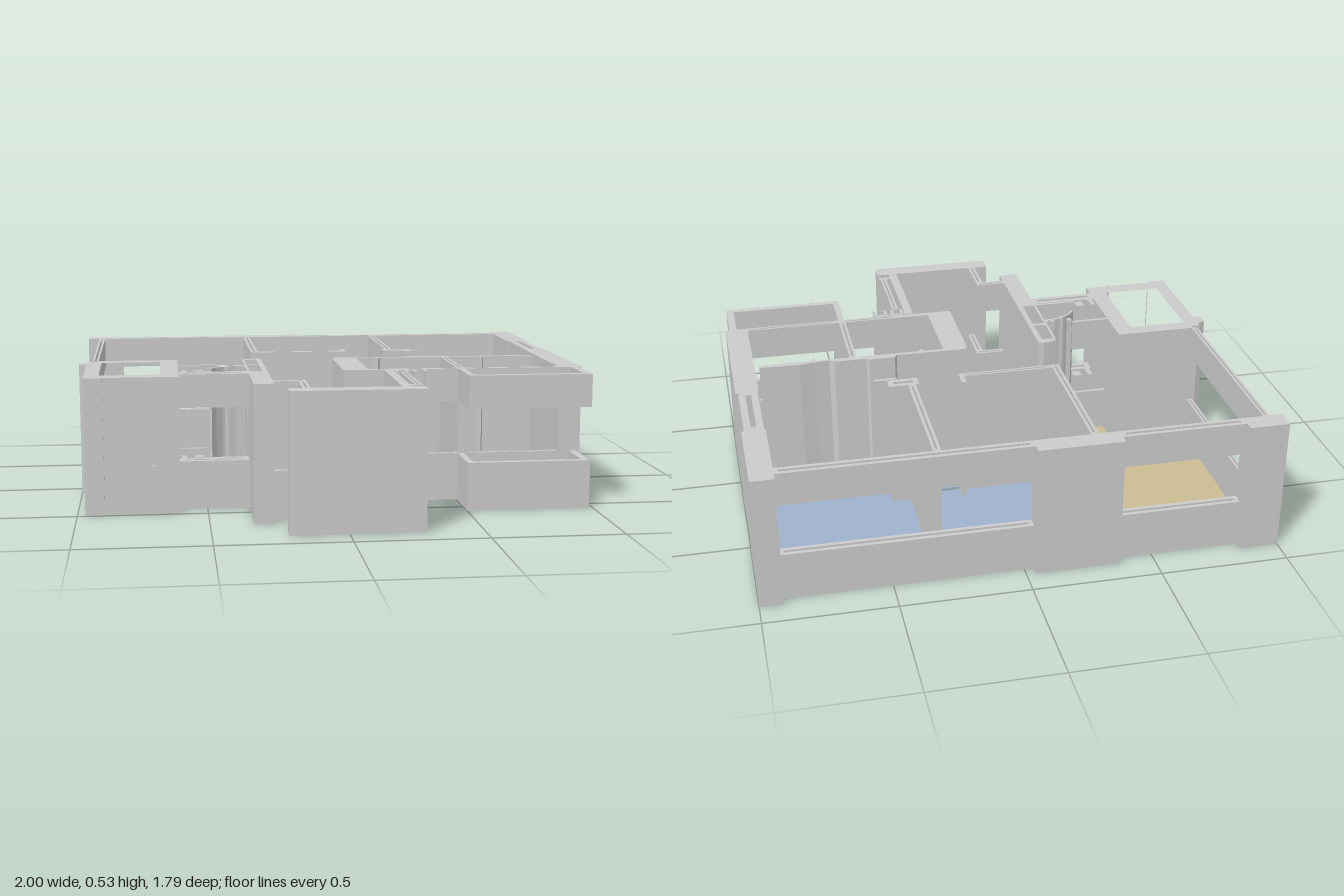
import * as THREE from 'three';

const H = 0.53, SILL = 0.19, HEAD = 0.4; // wall height and window opening

export function createModel() {
  const model = new THREE.Group();
  model.name = 'apartment';
  const wallMat = new THREE.MeshStandardMaterial({ color: 0xcccccc });

  function box(parent, x0, x1, z0, z1, y0 = 0, y1 = H) {
    const mesh = new THREE.Mesh(new THREE.BoxGeometry(x1 - x0, y1 - y0, z1 - z0), wallMat);
    mesh.position.set((x0 + x1) / 2, (y0 + y1) / 2, (z0 + z1) / 2);
    parent.add(mesh);
    return mesh;
  }
  function part(name) {
    const g = new THREE.Group();
    g.name = name;
    model.add(g);
    return g;
  }
  // full-height solid wall
  function wall(name, x0, x1, z0, z1) {
    box(model, x0, x1, z0, z1).name = name;
  }
  // two thin skins with a cavity between, closed at the ends
  function skins(g, x0, x1, z0, z1, y0, y1) {
    const alongX = x1 - x0 > z1 - z0;
    const t = (alongX ? z1 - z0 : x1 - x0) * 0.36;
    if (alongX) {
      box(g, x0, x1, z0, z0 + t, y0, y1);
      box(g, x0, x1, z1 - t, z1, y0, y1);
      for (const x of [x0, x1 - t]) box(g, x, x + t, z0 + t, z1 - t, y0, y1);
    } else {
      box(g, x0, x0 + t, z0, z1, y0, y1);
      box(g, x1 - t, x1, z0, z1, y0, y1);
      for (const z of [z0, z1 - t]) box(g, x0 + t, x1 - t, z, z + t, y0, y1);
    }
  }
  function hollowWall(name, ...r) {
    skins(part(name), ...r, 0, H);
  }
  // parapet below and lintel above an open window band
  function windowWall(name, x0, x1, z0, z1, solid = false) {
    const g = part(name);
    for (const [y0, y1] of [[0, SILL], [HEAD, H]]) {
      if (solid) box(g, x0, x1, z0, z1, y0, y1);
      else skins(g, x0, x1, z0, z1, y0, y1);
    }
  }
  // vertical prism over a plan outline of [x, z] points
  function prism(name, pts, height, material, holes = []) {
    const flip = (p) => p.map(([x, z]) => new THREE.Vector2(x, -z));
    const shape = new THREE.Shape(flip(pts));
    for (const h of holes) shape.holes.push(new THREE.Path(flip(h)));
    const geo = new THREE.ExtrudeGeometry(shape, { depth: height, bevelEnabled: false });
    geo.rotateX(-Math.PI / 2);
    const mesh = new THREE.Mesh(geo, material);
    mesh.name = name;
    model.add(mesh);
  }
  const rect = (x0, x1, z0, z1) => [[x0, z0], [x1, z0], [x1, z1], [x0, z1]];
  function floor(name, color, pts) {
    prism(name, pts, 0.008, new THREE.MeshStandardMaterial({ color }));
  }

  // Floors
  const YELLOW = 0xcbbd93, BLUE = 0x9fb2cd, TEAL = 0x98bfbd, RED = 0xcba897;
  floor('livingFloor', YELLOW, [[-0.93, -0.82], [-0.285, -0.82], [-0.285, -0.235], [-0.205, -0.235],
    [-0.205, -0.105], [-0.28, -0.03], [-0.33, -0.02], [-0.33, 0.17], [-0.45, 0.17], [-0.45, 0.14],
    [-0.605, 0.14], [-0.605, -0.02], [-0.93, -0.02]]);
  floor('closetFloor', YELLOW, rect(-0.33, -0.28, 0.16, 0.34));
  floor('bedroomFloor', BLUE, rect(-0.255, 0.305, -0.82, -0.255));
  floor('corridorFloor', BLUE, [[-0.205, -0.235], [0.335, -0.235], [0.335, -0.02], [0.07, -0.03],
    [0, -0.105], [-0.205, -0.105]]);
  floor('mainBedroomFloor', BLUE, [[0.335, -0.82], [0.91, -0.82], [0.91, -0.015], [0.335, -0.015],
    [0.335, -0.235], [0.41, -0.235], [0.41, -0.285], [0.335, -0.285]]);
  floor('hallFloor', RED, [[-0.21, -0.105], [0, -0.105], [0.07, -0.03], [0.04, -0.02], [0.04, 0.365],
    [0.2, 0.365], [0.2, 0.815], [-0.135, 0.815], [-0.135, 0.615], [-0.255, 0.615], [-0.255, -0.03],
    [-0.285, -0.03]]);
  floor('bathroomFloor', TEAL, rect(0.14, 0.5, 0, 0.345));
  floor('secondBathroomFloor', TEAL, rect(0.525, 0.915, 0, 0.345));
  floor('balconyFloor', 0xa6a6a6, rect(0.525, 0.955, 0.365, 0.545));
  floor('shaftFloor', 0xbfbbaf, rect(-0.91, -0.675, 0.04, 0.41));

  // Back facade
  wall('backRightPillar', -1, -0.845, -0.9, -0.82);
  wall('backMiddlePillar', -0.365, -0.035, -0.9, -0.82);
  windowWall('livingBackWindow', -0.845, -0.365, -0.865, -0.82);
  windowWall('bedroomBackWindow', -0.035, 0.91, -0.865, -0.82);

  // Side walls
  windowWall('livingSideWindow', -0.95, -0.925, -0.82, -0.02);
  wall('sideWallBack', 0.91, 1, -0.9, -0.53);
  wall('sideWallFront', 0.91, 1, -0.22, 0.365);
  windowWall('sideWindow', 0.915, 0.99, -0.53, -0.22);

  // Bedroom partitions
  hollowWall('livingPartition', -0.285, -0.255, -0.82, -0.235);
  hollowWall('bedroomFrontWall', -0.255, 0.12, -0.26, -0.235);
  wall('bedroomDoorJamb', 0.105, 0.125, -0.31, -0.235);
  hollowWall('bedroomPartition', 0.305, 0.335, -0.82, -0.29);
  hollowWall('ductCasing', 0.29, 0.41, -0.29, -0.235);
  wall('mainBedroomDoorJamb', 0.37, 0.46, -0.232, -0.217);

  // Bathroom block
  wall('bathroomThickWall', 0.04, 0.14, -0.005, 0.365);
  prism('bathroomBackWall', [[0.05, -0.02], [0.335, -0.018], [0.345, -0.035], [0.45, -0.035], [0.46, -0.025],
    [0.59, -0.025], [0.61, -0.01], [0.67, -0.015], [0.73, -0.025], [0.89, -0.02], [0.89, 0], [0.68, 0],
    [0.67, 0.025], [0.66, 0], [0.24, 0], [0.23, 0.02], [0.22, 0], [0.05, 0]], H, wallMat);
  hollowWall('bathroomPartition', 0.497, 0.525, 0, 0.345);
  wall('bathroomFrontWall', 0.14, 0.285, 0.342, 0.367);
  windowWall('bathroomWindow', 0.285, 0.5, 0.342, 0.367);
  wall('bathroomPost', 0.5, 0.55, 0.342, 0.367);
  windowWall('secondBathroomWindow', 0.55, 0.915, 0.342, 0.367);

  // Balcony parapet and upper band
  windowWall('balconySide', 0.5, 0.525, 0.367, 0.545, true);
  windowWall('balconySide', 0.955, 0.985, 0.365, 0.545, true);
  windowWall('balconyFront', 0.5, 0.985, 0.545, 0.572, true);

  // Entrance hall
  wall('hallFrontWall', -0.22, 0.285, 0.817, 0.89);
  windowWall('hallSideWindow', 0.2, 0.235, 0.372, 0.817, true);
  windowWall('hallOuterWindow', 0.255, 0.28, 0.43, 0.78);
  for (const [x, z] of [[0.24, 0.372], [0.28, 0.372], [0.31, 0.372], [0.355, 0.372]])
    wall('hallPost', x, x + 0.012, z, z + 0.055);
  wall('hallPostRail', 0.24, 0.36, 0.372, 0.384);
  windowWall('hallCornerLedge', 0.235, 0.285, 0.765, 0.785, true);
  windowWall('hallNookSide', -0.165, -0.135, 0.64, 0.817);
  windowWall('hallNookBack', -0.26, -0.135, 0.61, 0.64);
  wall('hallThickWall', -0.335, -0.258, 0.345, 0.7);
  wall('hallWall', -0.28, -0.258, 0.005, 0.345);
  prism('hallWallEnd', [[-0.33, -0.02], [-0.28, -0.03], [-0.258, -0.025], [-0.258, 0.005], [-0.33, 0.005]], H, wallMat);
  wall('closetBack', -0.33, -0.28, 0.14, 0.16);
  wall('closetSide', -0.338, -0.328, 0, 0.345);

  // Shaft: thick walls around an open core
  prism('shaftWalls', [[-0.93, -0.02], [-0.605, -0.02], [-0.605, 0.48], [-0.895, 0.48], [-0.895, 0.49],
    [-0.968, 0.49], [-0.968, 0.09], [-1, 0.085], [-1, 0.035], [-0.968, 0.02], [-0.968, 0], [-0.93, 0]],
  H, wallMat, [rect(-0.91, -0.675, 0.04, 0.41)]);
  windowWall('shaftFin', -0.712, -0.702, 0.48, 0.495, true);

  // Kitchen end: window, low screens and curved corner screen
  windowWall('kitchenWindow', -0.605, -0.335, 0.36, 0.42);
  windowWall('kitchenLedge', -0.605, -0.45, 0.14, 0.155, true);
  windowWall('kitchenInnerLedge', -0.51, -0.335, 0.343, 0.355, true);
  const outer = [], inner = [];
  for (let i = 0; i <= 8; i++) {
    const a = (i / 8) * Math.PI / 2;
    outer.push([-0.345 - 0.165 * Math.cos(a), 0.345 - 0.165 * Math.sin(a)]);
    inner.unshift([-0.345 - 0.155 * Math.cos(a), 0.345 - 0.155 * Math.sin(a)]);
  }
  floor('cornerFloor', 0xbfbbaf, [...outer, [-0.345, 0.345]]);
  prism('curvedScreen', [...outer.slice(3), ...inner.slice(0, 6)], H, wallMat);
  for (const [x, z] of [[-0.45, 0.16], [-0.42, 0.19], [-0.375, 0.165], [-0.35, 0.165]])
    wall('kitchenPost', x, x + 0.015, z, z + 0.025);
  windowWall('kitchenStub', -0.595, -0.575, 0.3, 0.36, true);
  windowWall('kitchenStub', -0.545, -0.51, 0.3, 0.343, true);

  return model;
}
